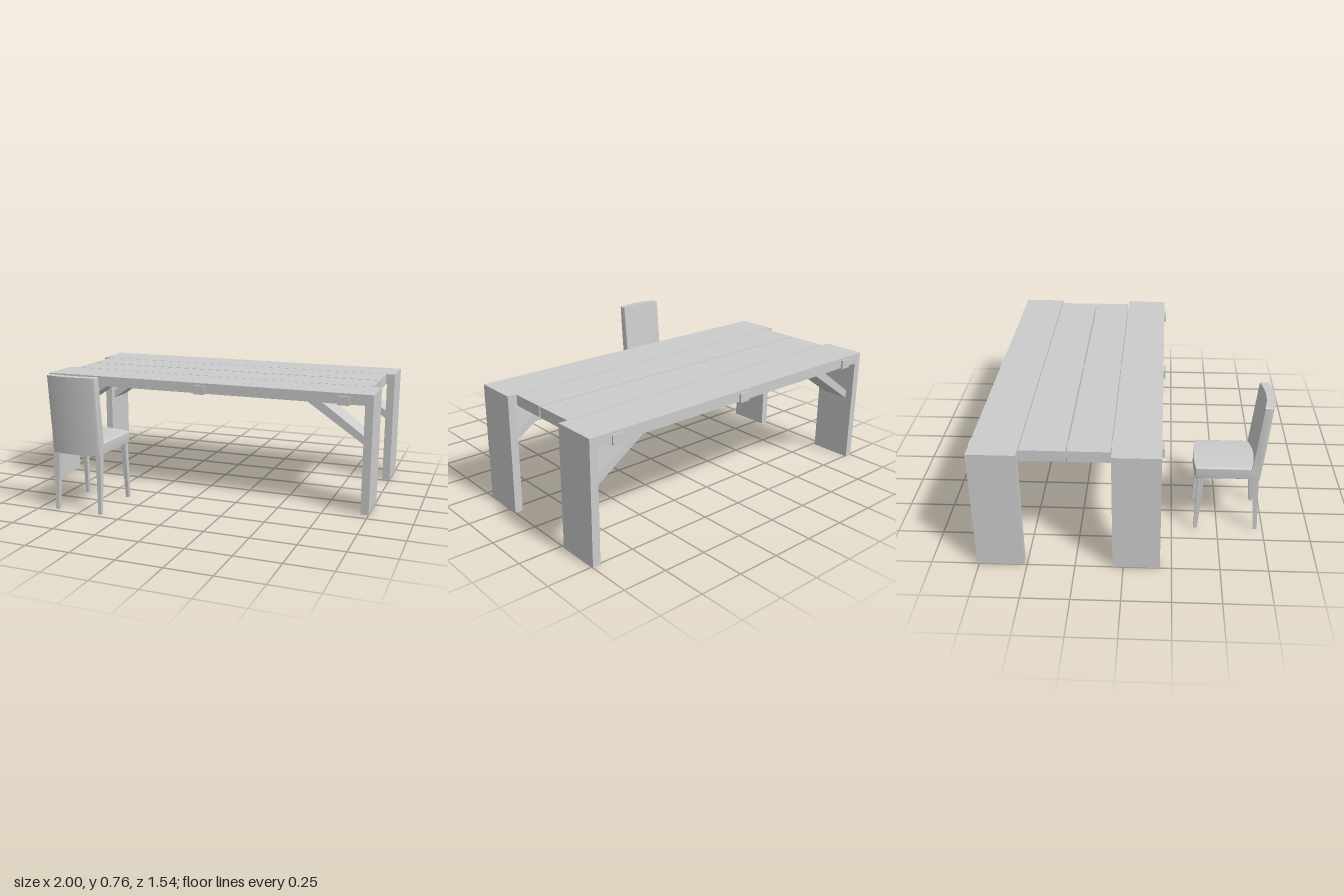
import * as THREE from 'three';
import { toCreasedNormals } from 'three/addons/utils/BufferGeometryUtils.js';

const material = new THREE.MeshStandardMaterial({ color: 0xcccccc });

function add(parent, name, geometry) {
  const mesh = new THREE.Mesh(geometry, material);
  mesh.name = name;
  parent.add(mesh);
  return mesh;
}

// Box given by its lower and upper limits on each axis
function block(parent, name, [x0, x1], [y0, y1], [z0, z1]) {
  const mesh = add(parent, name, new THREE.BoxGeometry(x1 - x0, y1 - y0, z1 - z0));
  mesh.position.set((x0 + x1) / 2, (y0 + y1) / 2, (z0 + z1) / 2);
}

function shapeFrom(points) {
  return new THREE.Shape(points.map(([x, y]) => new THREE.Vector2(x, y)));
}

function createTable() {
  const table = new THREE.Group();
  table.name = 'table';
  const top = [0.61, 0.67];
  const outerRows = [[-0.76, -0.515], [-0.055, 0.19]];

  // Four planks; the outer two run between the legs
  for (const z of outerRows) block(table, 'outerPlank', [-0.955, 0.955], top, z);
  for (const z of [[-0.51, -0.28], [-0.272, -0.06]]) block(table, 'innerPlank', [-0.95, 0.95], top, z);

  // Crossbars poking out of both long sides
  for (const x of [-0.855, 0, 0.84]) {
    block(table, 'crossbar', [x - 0.033, x + 0.033], [0.605, 0.655], [-0.77, 0.203]);
  }

  // Slab legs with diagonal braces
  const braceShape = shapeFrom([[0.955, 0.38], [0.955, 0.428], [0.7, 0.61], [0.615, 0.61]]);
  const braceWidth = 0.16;
  for (const z of outerRows) {
    const middle = (z[0] + z[1]) / 2;
    for (const side of [-1, 1]) {
      block(table, 'tableLeg', side > 0 ? [0.955, 1] : [-1, -0.955], [0, 0.67], z);
      const geometry = new THREE.ExtrudeGeometry(braceShape, { depth: braceWidth, bevelEnabled: false });
      geometry.translate(0, 0, -braceWidth / 2);
      if (side < 0) geometry.rotateY(Math.PI);
      add(table, 'brace', geometry).position.z = middle;
    }
  }
  return table;
}

// Tapered square leg leaning from its foot to its top
function chairLeg(parent, name, foot, head) {
  const height = 0.35;
  const geometry = new THREE.BoxGeometry(1, height, 1);
  geometry.translate(0, height / 2, 0);
  const p = geometry.attributes.position;
  for (let i = 0; i < p.count; i++) {
    const t = p.getY(i) / height;
    const width = 0.021 + 0.012 * t;
    p.setX(i, p.getX(i) * width * 0.9 + foot[0] + (head[0] - foot[0]) * t);
    p.setZ(i, p.getZ(i) * width + foot[1] + (head[1] - foot[1]) * t);
  }
  geometry.computeVertexNormals();
  add(parent, name, geometry);
}

function createChair() {
  const chair = new THREE.Group();
  chair.name = 'chair';
  const half = 0.145, bevel = 0.006;

  // Upholstered seat and back: one side profile swept across the width, then bowed
  const profile = shapeFrom([
    [0.376, 0.336], [0.706, 0.336], [0.725, 0.52], [0.745, 0.759], [0.711, 0.759],
    [0.687, 0.54], [0.671, 0.389], [0.376, 0.389],
  ]);
  const body = new THREE.ExtrudeGeometry(profile, {
    depth: 2 * (half - bevel), steps: 12,
    bevelThickness: bevel, bevelSize: bevel, bevelSegments: 3,
  });
  body.translate(0, 0, -(half - bevel));
  body.rotateY(-Math.PI / 2);
  const p = body.attributes.position;
  for (let i = 0; i < p.count; i++) {
    const y = p.getY(i), z = p.getZ(i);
    const bow = 1 - (p.getX(i) / half) ** 2;
    if (z > 0.65) p.setZ(i, z + 0.02 * bow);
    else p.setZ(i, z - 0.01 * bow);
    if (y > 0.37 && y < 0.41) p.setY(i, y + 0.007 * bow);
  }
  add(chair, 'seatAndBack', toCreasedNormals(body, 0.7));

  // Four splayed legs
  for (const side of [-1, 1]) {
    chairLeg(chair, 'chairFrontLeg', [side * 0.134, 0.38], [side * 0.128, 0.403]);
    chairLeg(chair, 'chairBackLeg', [side * 0.134, 0.71], [side * 0.128, 0.69]);
  }
  chair.position.x = -0.51;
  return chair;
}

export function createModel() {
  const model = new THREE.Group();
  model.name = 'diningSet';
  model.add(createTable(), createChair());
  return model;
}
